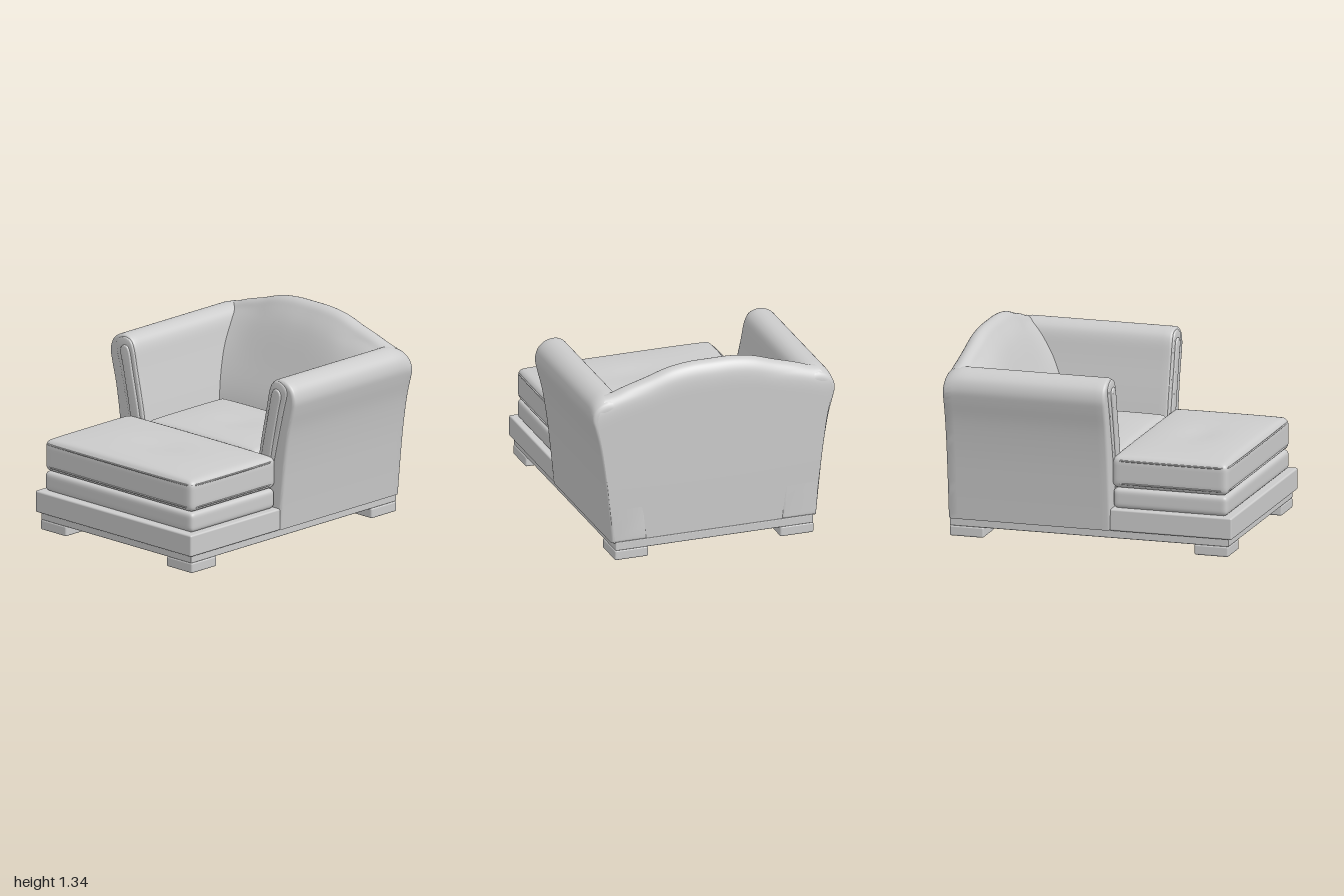
import * as THREE from 'three';
import { mergeVertices, toCreasedNormals } from 'three/addons/utils/BufferGeometryUtils.js';
import { RoundedBoxGeometry } from 'three/addons/geometries/RoundedBoxGeometry.js';

const material = new THREE.MeshStandardMaterial({ color: 0xcccccc });
const { clamp } = THREE.MathUtils;

function add(parent, name, geometry, x = 0, y = 0, z = 0) {
  const mesh = new THREE.Mesh(geometry, material);
  mesh.name = name;
  mesh.position.set(x, y, z);
  parent.add(mesh);
  return mesh;
}

// Rounded block given by its limits
function block(parent, name, [x0, x1], [y0, y1], [z0, z1], r = 0.012) {
  const geo = new RoundedBoxGeometry(x1 - x0, y1 - y0, z1 - z0, 3, r);
  return add(parent, name, geo, (x0 + x1) / 2, (y0 + y1) / 2, (z0 + z1) / 2);
}

// Upholstered block: dense box, rounded edges, gently crowned top
function cushion(parent, name, halfW, [y0, y1], [z0, z1], r, crown) {
  const half = [halfW, (y1 - y0) / 2, (z1 - z0) / 2];
  let geo = new THREE.BoxGeometry(2, 2, 2, 32, 14, 32);
  geo.deleteAttribute('normal');
  geo.deleteAttribute('uv');
  geo = mergeVertices(geo);
  const pos = geo.attributes.position;
  const p = new THREE.Vector3(), core = new THREE.Vector3();
  for (let i = 0; i < pos.count; i++) {
    const u = [pos.getX(i), pos.getY(i), pos.getZ(i)].map(t => Math.sin(t * Math.PI / 2));
    p.set(...u.map((t, k) => t * half[k]));
    core.set(...p.toArray().map((v, k) => clamp(v, r - half[k], half[k] - r)));
    p.sub(core).setLength(r).add(core);
    if (p.y > 0) {
      const puff = (1 - u[0] ** 4) * (1 - u[2] ** 4) - 0.5 * Math.exp(-12 * (u[0] ** 2 + u[2] ** 2));
      p.y += crown * puff * p.y / half[1];
    }
    pos.setXYZ(i, p.x, p.y, p.z);
  }
  geo.computeVertexNormals();
  return add(parent, name, geo, 0, (y0 + y1) / 2, (z0 + z1) / 2);
}

// Closed piping cord around a rectangle with rounded corners
function piping(parent, name, halfW, z0, z1, y, r = 0.05) {
  const pts = [];
  const corners = [[halfW, z1, 0], [-halfW, z1, 1], [-halfW, z0, 2], [halfW, z0, 3]];
  for (const [x, z, q] of corners) {
    const cx = x - Math.sign(x) * r, cz = z === z1 ? z - r : z + r;
    for (let k = 0; k <= 4; k++) {
      const a = (q + k / 4) * Math.PI / 2;
      pts.push(new THREE.Vector3(cx + r * Math.cos(a), y, cz + r * Math.sin(a)));
    }
  }
  const path = new THREE.CatmullRomCurve3(pts, true, 'centripetal');
  add(parent, name, new THREE.TubeGeometry(path, 120, 0.006, 6, true));
}

// Extruded outline with rounded edges, kept inside z0..z1
function padGeometry(outline, side, z0, z1, bevel, steps) {
  const shape = new THREE.Shape();
  const pts = outline.map(([x, y]) => new THREE.Vector2(side * x, y));
  shape.moveTo(pts[0].x, pts[0].y);
  shape.splineThru(pts.slice(1));
  const geo = new THREE.ExtrudeGeometry(shape, {
    depth: z1 - z0 - 2 * bevel, steps, curveSegments: 4,
    bevelSize: bevel, bevelThickness: bevel, bevelOffset: -bevel, bevelSegments: 4,
  });
  return geo.translate(0, 0, z0 + bevel);
}

const armOutline = [
  [0.73, 0.125], [0.752, 0.35], [0.78, 0.6], [0.815, 0.82], [0.852, 0.97], [0.865, 1.05],
  [0.845, 1.12], [0.795, 1.165], [0.73, 1.18], [0.67, 1.16], [0.63, 1.1], [0.6, 0.95],
  [0.54, 0.66], [0.5, 0.4], [0.48, 0.125],
];
const facingOutline = [
  [0.61, 0.28], [0.69, 0.65], [0.765, 0.96], [0.797, 1.08], [0.785, 1.135], [0.73, 1.165],
  [0.67, 1.15], [0.637, 1.09], [0.61, 0.96], [0.545, 0.65], [0.49, 0.28],
];
const panelOutline = [
  [0.6, 0.28], [0.66, 0.65], [0.725, 0.96], [0.75, 1.06], [0.738, 1.1], [0.71, 1.113],
  [0.68, 1.1], [0.66, 1.05], [0.64, 0.95], [0.575, 0.65], [0.51, 0.28],
];

function makeArm(side) {
  const arm = new THREE.Group();
  arm.name = side > 0 ? 'leftArm' : 'rightArm';
  const geo = padGeometry(armOutline, side, -0.992, 0.15, 0.022, 24);
  // Roll the top over toward the rear edge
  const pos = geo.attributes.position;
  for (let i = 0; i < pos.count; i++) {
    const y = pos.getY(i), t = clamp((-0.87 - pos.getZ(i)) / 0.122, 0, 1);
    if (y > 0.95) pos.setY(i, y - 0.3 * (y - 0.95) * (1 - Math.sqrt(1 - t * t)));
  }
  add(arm, 'armBody', toCreasedNormals(geo, 0.6));
  add(arm, 'armFacing', toCreasedNormals(padGeometry(facingOutline, side, 0.12, 0.158, 0.01, 1), 0.6));
  add(arm, 'armFrontPanel', toCreasedNormals(padGeometry(panelOutline, side, 0.13, 0.17, 0.01, 1), 0.6));
  return arm;
}

// Linear lookup in a list of [input, output]
function lookup(table, v) {
  for (let i = 1; i < table.length; i++) {
    const [a, fa] = table[i - 1], [b, fb] = table[i];
    if (v <= b) return fa + (fb - fa) * clamp((v - a) / (b - a), 0, 1);
  }
  return table[table.length - 1][1];
}

// Back: side profiles lofted across the width under an arched top line
function backGeometry() {
  const nu = 48, nv = 60, verts = [], index = [];
  const width = [[0.125, 0.72], [0.35, 0.742], [0.6, 0.77], [0.82, 0.8], [0.97, 0.83], [1.05, 0.835], [1.12, 0.8], [1.185, 0.75]];
  const arch = new THREE.SplineCurve([[0, 1.335], [0.15, 1.333], [0.28, 1.312], [0.45, 1.265], [0.6, 1.222], [0.75, 1.175]]
    .map(p => new THREE.Vector2(...p)));
  for (let i = 0; i <= nu; i++) {
    const u = i / nu * 2 - 1, h = arch.getPoint(Math.abs(u)).y;
    const fillet = 0.07 * Math.abs(u) ** 5;
    const profile = new THREE.CatmullRomCurve3([
      [-0.985, 0.125], [-0.995, 0.5], [-0.998, h - 0.3], [-0.996, h - 0.12], [-0.98, h - 0.055],
      [-0.95, h - 0.014], [-0.91, h], [-0.87, h - 0.016], [-0.835, h - 0.06],
      [-0.775 + fillet, h - 0.16], [-0.67 + fillet, 0.9], [-0.575 + fillet, 0.62], [-0.55, 0.3], [-0.55, 0.125],
    ].map(([z, y]) => new THREE.Vector3(0, y, z)), false, 'centripetal');
    for (let j = 0; j <= nv; j++) {
      const p = profile.getPoint(j / nv);
      verts.push(u * lookup(width, p.y), p.y, p.z);
      if (i < nu && j < nv) {
        const a = i * (nv + 1) + j, b = a + nv + 1;
        index.push(a, a + 1, b, b, a + 1, b + 1);
      }
    }
  }
  const geo = new THREE.BufferGeometry();
  geo.setAttribute('position', new THREE.Float32BufferAttribute(verts, 3));
  geo.setIndex(index);
  geo.computeVertexNormals();
  return geo;
}

export function createModel() {
  const model = new THREE.Group();
  model.name = 'chaiseArmchair';

  // Feet, plinth and front rail
  for (const x of [-0.59, 0.59]) {
    for (const z of [-0.87, 0.85]) {
      block(model, 'foot', [x - 0.12, x + 0.12], [0, 0.072], [z - 0.12, z + 0.12]);
    }
  }
  block(model, 'plinth', [-0.705, 0.705], [0.07, 0.13], [-0.99, 0.97], 0.006);
  block(model, 'frontRail', [-0.73, 0.73], [0.125, 0.275], [0.14, 1]);

  // Arms and back
  model.add(makeArm(1), makeArm(-1));
  add(model, 'back', backGeometry());

  // T-shaped seat: wide in front of the arms, narrow between them
  cushion(model, 'lowerCushionFront', 0.693, [0.272, 0.412], [0.15, 0.955], 0.035, 0);
  cushion(model, 'lowerCushionRear', 0.51, [0.272, 0.412], [-0.58, 0.2], 0.035, 0);
  cushion(model, 'seatCushionFront', 0.693, [0.412, 0.632], [0.14, 0.957], 0.045, 0.024);
  cushion(model, 'seatCushionRear', 0.51, [0.412, 0.632], [-0.57, 0.165], 0.045, 0.022);
  for (const y of [0.445, 0.603]) piping(model, 'seatPiping', 0.689, 0.16, 0.953, y);

  return model;
}
